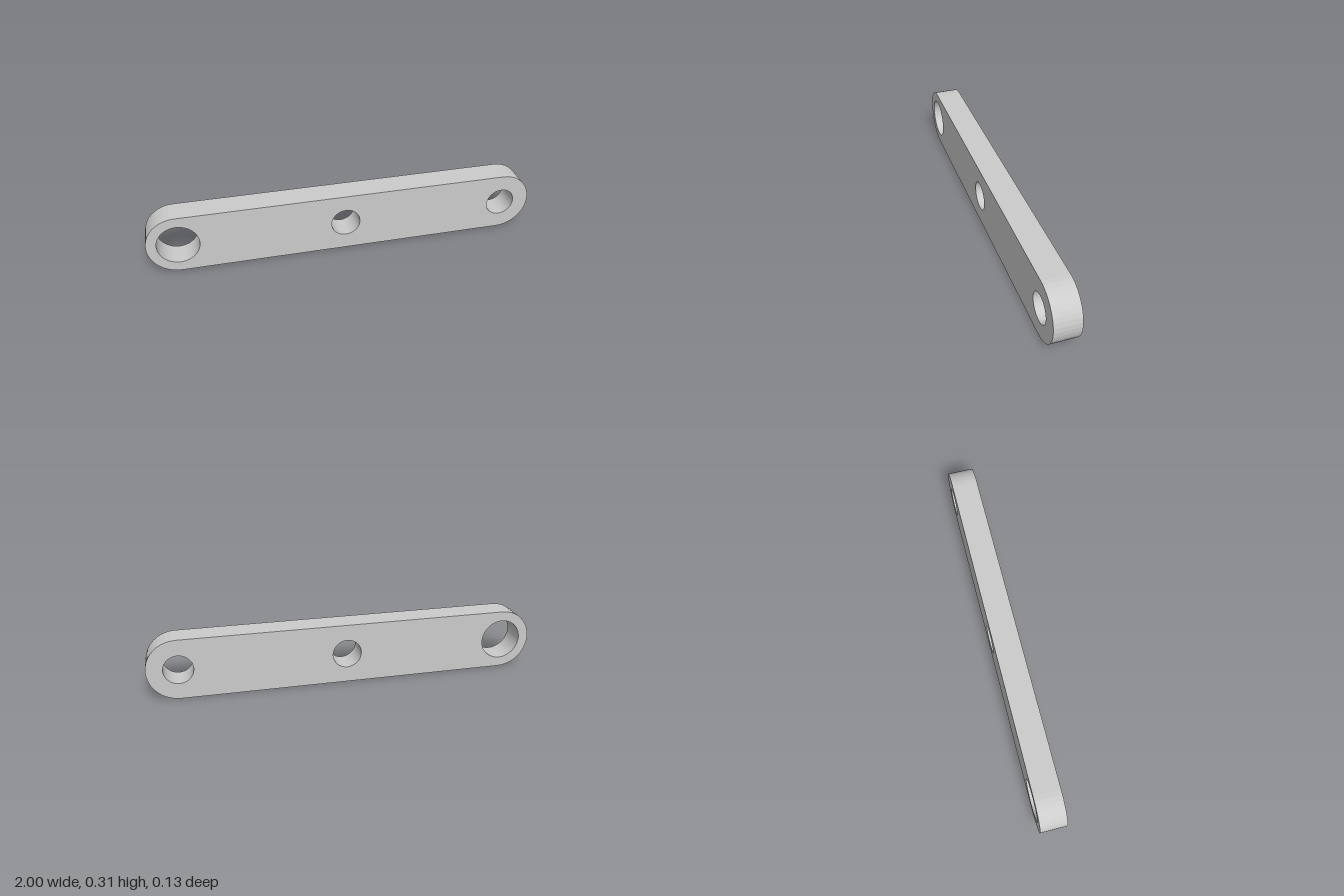
import * as THREE from 'three';

const RADIUS = 0.156;   // rounded end radius, half the bar height
const REACH = 0.844;    // distance from centre to each end hole
const DEPTH = 0.134;

// Round hole made of two half arcs
function hole(x, r) {
  const path = new THREE.Path();
  path.absarc(x, 0, r, 0, Math.PI, false);
  path.absarc(x, 0, r, Math.PI, Math.PI * 2, false);
  return path;
}

export function createModel() {
  const group = new THREE.Group();
  group.name = 'linkBar';

  // Bar outline with two semicircular ends
  const outline = new THREE.Shape();
  outline.absarc(REACH, 0, RADIUS, -Math.PI / 2, Math.PI / 2, false);
  outline.absarc(-REACH, 0, RADIUS, Math.PI / 2, Math.PI * 1.5, false);
  outline.closePath();

  // Large bore on the right end, two smaller bores at the centre and left end
  outline.holes.push(hole(-REACH, 0.105), hole(0, 0.074), hole(REACH, 0.074));

  const geometry = new THREE.ExtrudeGeometry(outline, {
    depth: DEPTH, bevelEnabled: false, curveSegments: 10,
  });
  geometry.translate(0, RADIUS, -DEPTH / 2);

  const bar = new THREE.Mesh(
    geometry,
    new THREE.MeshStandardMaterial({ color: 0xcccccc, flatShading: true }),
  );
  bar.name = 'bar';
  group.add(bar);
  return group;
}
